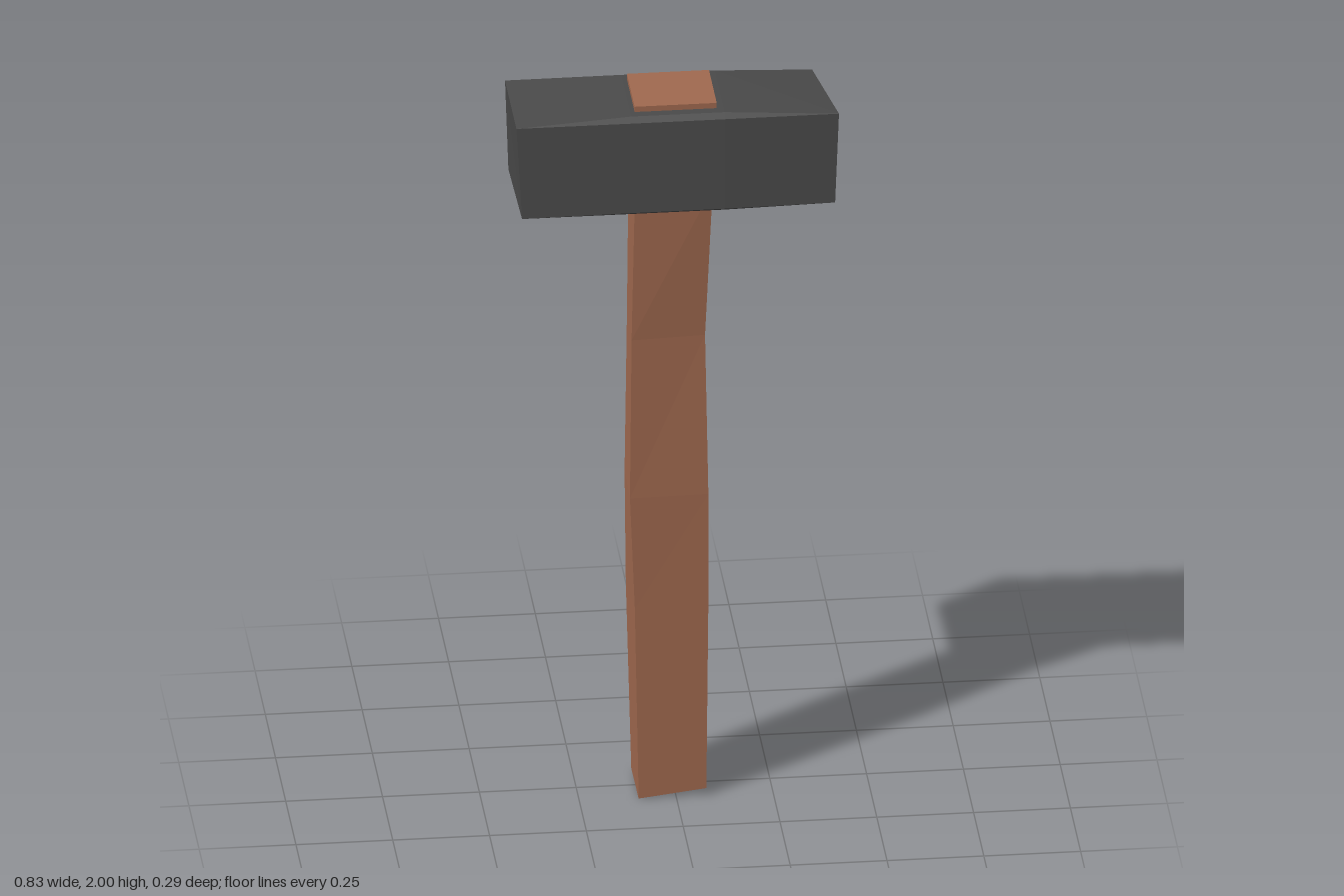
import * as THREE from 'three';

// Skin a list of closed rings, with both ends capped
function loft(rings) {
  const n = rings[0].length;
  const index = [];
  for (let i = 0; i < rings.length - 1; i++) {
    for (let j = 0; j < n; j++) {
      const k = (j + 1) % n;
      const a = i * n + j, b = i * n + k, c = b + n, d = a + n;
      index.push(a, b, c, a, c, d);
    }
  }
  const last = (rings.length - 1) * n;
  for (let j = 1; j < n - 1; j++) {
    index.push(0, j + 1, j);
    index.push(last, last + j, last + j + 1);
  }
  const geometry = new THREE.BufferGeometry();
  geometry.setAttribute('position', new THREE.Float32BufferAttribute(rings.flat(2), 3));
  geometry.setIndex(index);
  const flat = geometry.toNonIndexed();
  flat.computeVertexNormals();
  return flat;
}

export function createModel() {
  const group = new THREE.Group();
  const iron = new THREE.MeshStandardMaterial({ color: 0x4a4a4a });
  iron.name = 'dark iron';
  const wood = new THREE.MeshStandardMaterial({ color: 0xa0694f });
  wood.name = 'brown wood';

  const add = (name, geometry, material) => {
    const mesh = new THREE.Mesh(geometry, material);
    mesh.name = name;
    group.add(mesh);
    return mesh;
  };

  // Head: four-cornered ends, with a raised eight-cornered block in the middle
  const end = (tb, tf, bf, bb) => [tb, tb, tf, tf, bf, bf, bb, bb];
  const middle = (x) => [
    [x, 1.963, -0.149], [x, 1.985, -0.12], [x, 1.985, 0.12], [x, 1.97, 0.131],
    [x, 1.717, 0.139], [x, 1.705, 0.12], [x, 1.705, -0.12], [x, 1.717, -0.142],
  ];
  add('head', loft([
    end([-0.418, 1.97, -0.149], [-0.418, 1.97, 0.13], [-0.405, 1.718, 0.145], [-0.41, 1.718, -0.142]),
    middle(-0.12),
    middle(0.12),
    end([0.375, 1.96, -0.149], [0.415, 1.97, 0.13], [0.405, 1.716, 0.131], [0.37, 1.716, -0.142]),
  ]), iron);

  // Handle: hand-cut, slightly bowed; corners run front -x, front +x, back +x, back -x
  add('handle', loft([
    [[-0.097, 0.004, 0.08], [0.078, 0.024, 0.078], [0.08, 0.026, -0.073], [-0.1, 0.014, -0.073]],
    [[-0.107, 0.55, 0.081], [0.083, 0.55, 0.079], [0.086, 0.55, -0.076], [-0.114, 0.55, -0.074]],
    [[-0.12, 0.87, 0.085], [0.083, 0.87, 0.08], [0.09, 0.87, -0.078], [-0.117, 0.87, -0.076]],
    [[-0.115, 1.32, 0.077], [0.076, 1.32, 0.065], [0.088, 1.32, -0.075], [-0.111, 1.32, -0.075]],
    [[-0.107, 1.75, 0.084], [0.094, 1.75, 0.082], [0.097, 1.75, -0.073], [-0.107, 1.75, -0.073]],
  ]), wood);

  // Handle end showing through the top of the head
  const tip = add('handleTip', new THREE.BoxGeometry(0.212, 0.05, 0.19), wood);
  tip.position.set(-0.003, 1.975, 0);

  return group;
}
